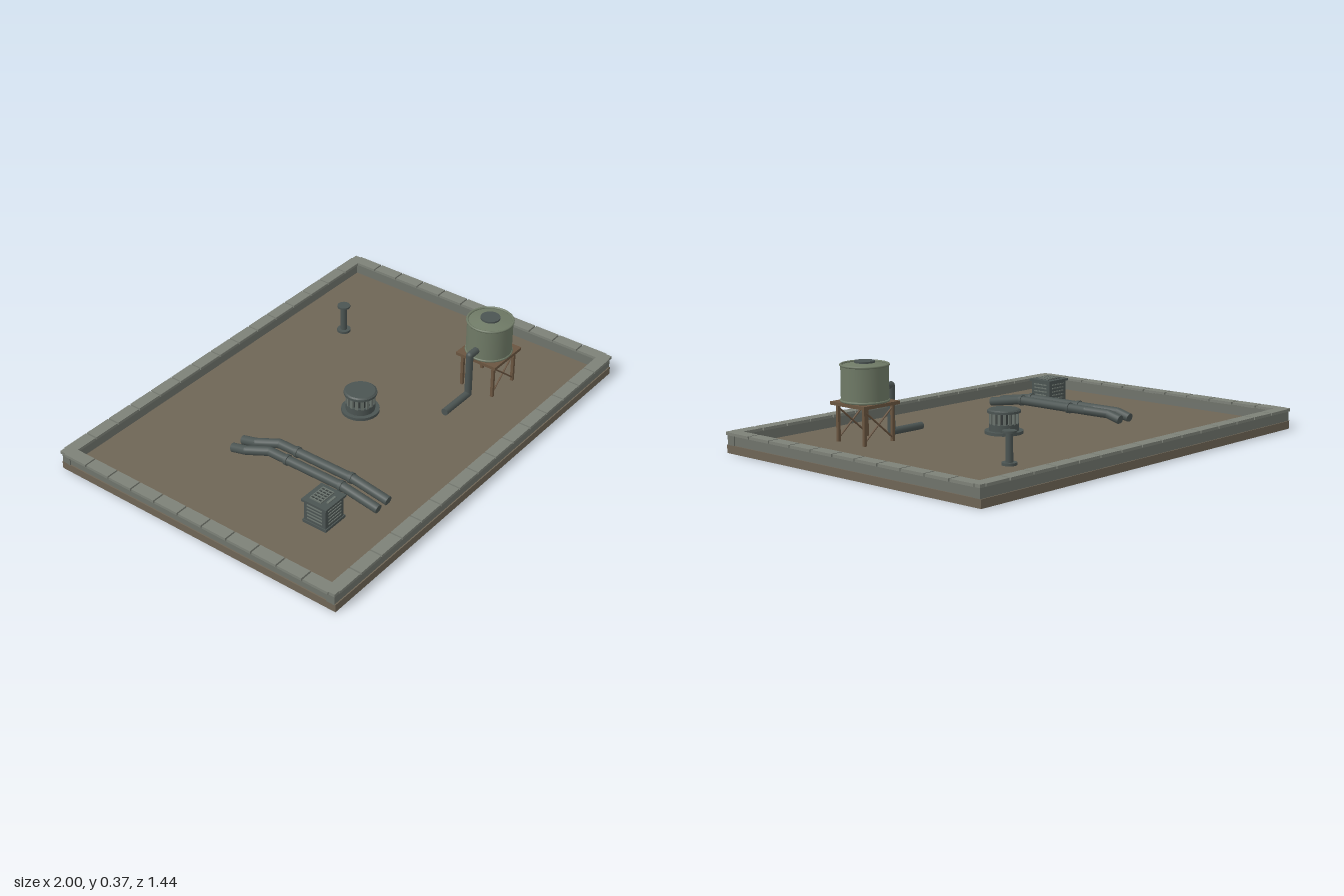
import * as THREE from 'three';

const mat = (color) => new THREE.MeshStandardMaterial({ color });
const M = {
  slab: mat(0x6e6556), wall: mat(0x6f736b), cap: mat(0x7d8178), metal: mat(0x4b5452),
  dark: mat(0x343a39), light: mat(0x69726c), tank: mat(0x6f7a66), wood: mat(0x6a5540),
};
const FLOOR = 0.035;

function add(parent, name, geometry, material, x = 0, y = 0, z = 0) {
  const mesh = new THREE.Mesh(geometry, material);
  mesh.name = name;
  mesh.position.set(x, y, z);
  parent.add(mesh);
  return mesh;
}

function group(parent, name, x = 0, y = 0, z = 0) {
  const g = new THREE.Group();
  g.name = name;
  g.position.set(x, y, z);
  parent.add(g);
  return g;
}

const box = (parent, name, m, w, h, d, x, y, z) => add(parent, name, new THREE.BoxGeometry(w, h, d), m, x, y, z);

// upright cylinder spanning y0..y1
const drum = (parent, name, m, r, y0, y1, x = 0, z = 0, rTop = r) =>
  add(parent, name, new THREE.CylinderGeometry(rTop, r, y1 - y0, 28), m, x, (y0 + y1) / 2, z);

// cylinder between two points
function rod(parent, name, m, a, b, r, sides = 16) {
  const p = new THREE.Vector3(...a), q = new THREE.Vector3(...b);
  const dir = q.clone().sub(p);
  const mesh = add(parent, name, new THREE.CylinderGeometry(r, r, dir.length(), sides), m);
  mesh.position.copy(p).add(q).multiplyScalar(0.5);
  mesh.quaternion.setFromUnitVectors(new THREE.Vector3(0, 1, 0), dir.normalize());
  return mesh;
}

// run of straight pipes with round elbows
function pipeRun(parent, name, m, points, r) {
  for (let i = 0; i < points.length - 1; i++) {
    rod(parent, name, m, points[i], points[i + 1], r);
    if (i > 0) add(parent, 'elbow', new THREE.SphereGeometry(r, 16, 10), m, ...points[i]);
  }
}

function buildParapet(root) {
  const g = group(root, 'parapet');
  for (const s of [-1, 1]) {
    box(g, 'longWall', M.wall, 1.98, 0.048, 0.04, 0, 0.056, s * 0.69);
    box(g, 'sideWall', M.wall, 0.04, 0.048, 1.34, s * 0.965, 0.056, 0);
    // coping stones with narrow joints
    const longStep = 1.94 / 15, sideStep = 1.38 / 11;
    for (let i = 0; i < 15; i++)
      box(g, 'copingStone', M.cap, longStep - 0.007, 0.012, 0.055, -0.97 + (i + 0.5) * longStep, 0.084, s * 0.6915);
    for (let i = 0; i < 11; i++)
      box(g, 'copingStone', M.cap, 0.055, 0.012, sideStep - 0.007, s * 0.9725, 0.084, -0.69 + (i + 0.5) * sideStep);
    for (const t of [-1, 1])
      box(g, 'cornerStone', M.cap, 0.03, 0.013, 0.03, s * 0.98, 0.0835, t * 0.7);
  }
}

function buildTank(root) {
  const g = group(root, 'waterTank', 0.56, 0, 0.345);
  const L = 0.079;
  // timber stand
  box(g, 'platform', M.wood, 0.204, 0.014, 0.204, 0, 0.197, 0);
  for (const s of [-1, 1]) {
    for (const t of [-1, 1]) {
      box(g, 'leg', M.wood, 0.013, 0.158, 0.013, s * L, FLOOR + 0.078, t * L);
    }
    for (const d of [-1, 1]) {
      rod(g, 'brace', M.wood, [-d * L, 0.05, s * L], [d * L, 0.18, s * L], 0.004, 6);
    }
  }
  // vessel with hoops, lid and hatch
  add(g, 'vessel', new THREE.CylinderGeometry(0.1, 0.1, 0.15, 40, 1, true), M.tank, 0, 0.28, 0);
  drum(g, 'lid', M.tank, 0.1, 0.354, 0.366, 0, 0, 0.04);
  for (const y of [0.209, 0.357]) {
    const hoop = add(g, 'hoop', new THREE.TorusGeometry(0.099, 0.0055, 8, 40), M.tank, 0, y, 0);
    hoop.rotation.x = Math.PI / 2;
  }
  drum(g, 'hatch', M.metal, 0.043, 0.36, 0.373);
  // supply pipe down to the roof
  pipeRun(g, 'supplyPipe', M.metal,
    [[-0.09, 0.252, 0], [-0.148, 0.252, 0], [-0.148, 0.054, 0], [-0.325, 0.054, 0]], 0.016);
}

function buildTurbineVent(root) {
  const g = group(root, 'roofVent', 0.05, 0, 0.035);
  drum(g, 'flange', M.metal, 0.083, FLOOR, 0.048);
  drum(g, 'collar', M.metal, 0.064, 0.048, 0.08);
  drum(g, 'core', M.dark, 0.052, 0.08, 0.126);
  for (let i = 0; i < 16; i++) {
    const a = (i / 16) * Math.PI * 2;
    const fin = box(g, 'fin', M.light, 0.012, 0.05, 0.012, Math.sin(a) * 0.058, 0.102, Math.cos(a) * 0.058);
    fin.rotation.y = a;
  }
  drum(g, 'cap', M.metal, 0.072, 0.125, 0.135);
  drum(g, 'capTop', M.metal, 0.07, 0.135, 0.14, 0, 0, 0.064);
}

function buildVentPipe(root) {
  const g = group(root, 'ventPipe', 0.5, 0, -0.405);
  drum(g, 'base', M.metal, 0.031, FLOOR, 0.046);
  drum(g, 'stack', M.metal, 0.015, 0.046, 0.165);
  drum(g, 'cap', M.metal, 0.029, 0.163, 0.172);
}

function buildDucts(root) {
  const g = group(root, 'ducts');
  for (const x of [-0.46, -0.394]) {
    pipeRun(g, 'duct', M.metal, [
      [x, 0.052, 0.515], [x, 0.08, 0.34], [x, 0.08, -0.045],
      [x - 0.044, 0.07, -0.135], [x - 0.044, 0.052, -0.205],
    ], 0.02);
    for (const z of [0.05, 0.33]) rod(g, 'ductCollar', M.metal, [x, 0.08, z - 0.007], [x, 0.08, z + 0.007], 0.024, 20);
  }
}

function buildCooler(root) {
  const g = group(root, 'coolingUnit', -0.624, 0, 0.37);
  box(g, 'plinth', M.metal, 0.125, 0.012, 0.118, 0, FLOOR + 0.006, 0);
  box(g, 'body', M.metal, 0.114, 0.1, 0.108, 0, 0.09, 0);
  box(g, 'lid', M.metal, 0.13, 0.01, 0.124, 0, 0.143, 0);
  // louvres on all four sides
  for (let i = 0; i < 5; i++) {
    const y = 0.062 + i * 0.016;
    box(g, 'louvre', M.light, 0.08, 0.005, 0.114, 0, y, 0);
    box(g, 'louvre', M.light, 0.12, 0.005, 0.075, 0, y, 0);
  }
  // raised grille on top
  box(g, 'grilleBed', M.dark, 0.084, 0.004, 0.056, 0, 0.149, -0.008);
  for (let i = 0; i < 6; i++) box(g, 'grilleBar', M.light, 0.005, 0.006, 0.056, -0.04 + i * 0.016, 0.152, -0.008);
  for (let i = 0; i < 4; i++) box(g, 'grilleBar', M.light, 0.085, 0.006, 0.004, 0, 0.152, -0.035 + i * 0.018);
  box(g, 'handle', M.light, 0.05, 0.005, 0.01, 0, 0.15, 0.038);
}

export function createModel() {
  const root = new THREE.Group();
  root.name = 'rooftop';
  box(root, 'roofSlab', M.slab, 1.98, FLOOR, 1.43, 0, FLOOR / 2, 0);
  buildParapet(root);
  buildTank(root);
  buildTurbineVent(root);
  buildVentPipe(root);
  buildDucts(root);
  buildCooler(root);
  return root;
}
